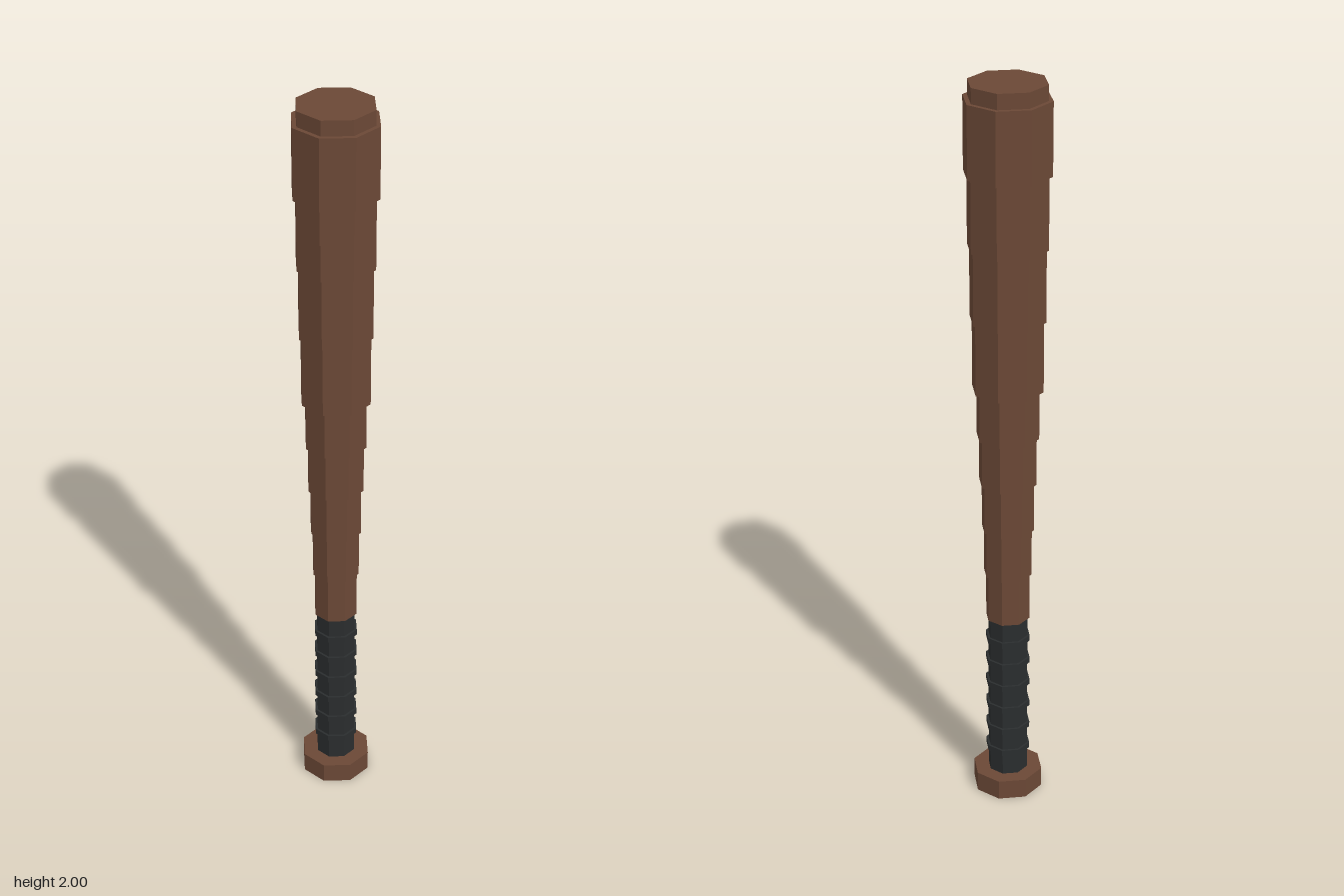
import * as THREE from 'three';

const wood = new THREE.MeshStandardMaterial({ color: 0x6b4836 });
wood.name = 'brown wood';
const tape = new THREE.MeshStandardMaterial({ color: 0x2a2d2e });
tape.name = 'black grip tape';

// Upright octagonal prism with flats facing the axes; half = distance from axis to a flat
function octagon(name, y0, y1, half, material) {
  const r = half / Math.cos(Math.PI / 8);
  const geometry = new THREE.CylinderGeometry(r, r, y1 - y0, 8).rotateY(Math.PI / 8).toNonIndexed();
  geometry.computeVertexNormals();
  const mesh = new THREE.Mesh(geometry, material);
  mesh.position.y = (y0 + y1) / 2;
  mesh.name = name;
  return mesh;
}

export function createModel() {
  const bat = new THREE.Group();
  bat.name = 'bat';

  bat.add(octagon('knob', 0, 0.055, 0.088, wood));

  // Taped handle with raised wraps
  bat.add(octagon('grip', 0.055, 0.527, 0.05, tape));
  for (let i = 0; i < 6; i++) {
    const y = 0.125 + i * 0.068;
    bat.add(octagon('gripWrap', y - 0.008, y + 0.008, 0.056, tape));
  }

  // Stepped shaft and barrel: [bottom, top, half width]
  const steps = [
    [0.527, 0.66, 0.055], [0.66, 0.793, 0.06], [0.793, 0.927, 0.065],
    [0.927, 1.06, 0.071], [1.06, 1.193, 0.077], [1.193, 1.385, 0.087],
    [1.385, 1.578, 0.092], [1.578, 1.77, 0.097], [1.77, 1.96, 0.105],
  ];
  steps.forEach(([y0, y1, half], i) =>
    bat.add(octagon(i < 5 ? 'shaftStep' : 'barrelStep', y0, y1, half, wood)));

  bat.add(octagon('endCap', 1.96, 2, 0.094, wood));

  // Small raised patch on the front of the barrel
  const patch = new THREE.Mesh(new THREE.BoxGeometry(0.043, 0.09, 0.009), wood);
  patch.position.set(-0.0215, 1.725, 0.1005);
  patch.name = 'barrelPatch';
  bat.add(patch);

  return bat;
}
